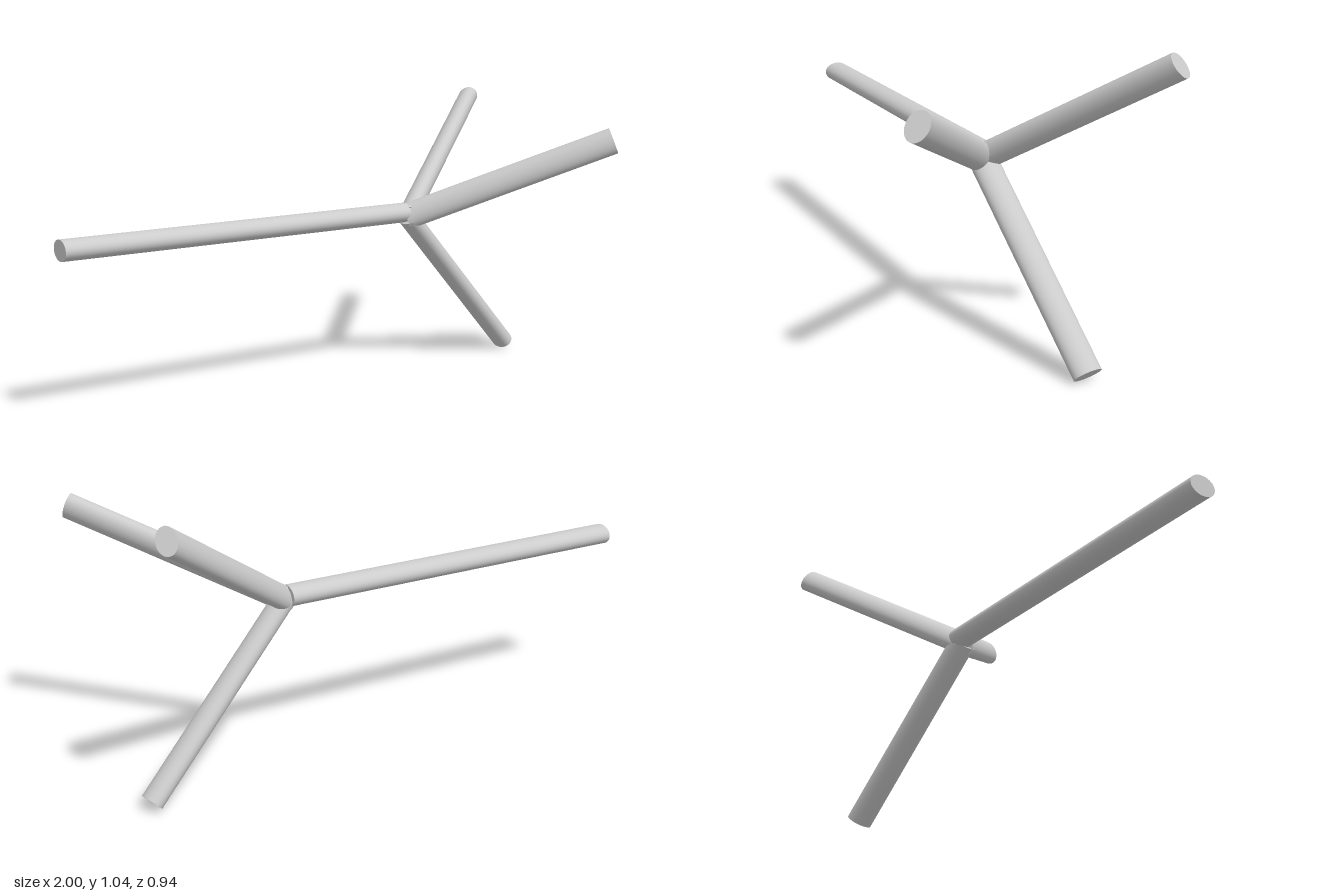
import * as THREE from 'three';

const WIDE = 0.05, NARROW = 0.0365; // half axes of the oval section

// Oval rod between two points; its wide axis lies along the hint direction
function rod(name, start, end, wideHint, material) {
  const axis = end.clone().sub(start);
  const length = axis.length();
  axis.normalize();
  const depth = wideHint.clone().cross(axis).normalize();
  const wide = axis.clone().cross(depth);
  const geometry = new THREE.CylinderGeometry(1, 1, length, 48);
  geometry.scale(WIDE, 1, NARROW);
  const mesh = new THREE.Mesh(geometry, material);
  mesh.name = name;
  mesh.quaternion.setFromRotationMatrix(new THREE.Matrix4().makeBasis(wide, axis, depth));
  mesh.position.copy(start).add(end).multiplyScalar(0.5);
  return mesh;
}

export function createModel() {
  const group = new THREE.Group();
  group.name = 'branchedRods';
  const material = new THREE.MeshStandardMaterial({ color: 0xcccccc });
  const v = (x, y, z) => new THREE.Vector3(x, y, z);

  // Long horizontal shaft
  group.add(rod('shaft', v(-1, 0.62, -0.067), v(0.385, 0.62, -0.067), v(0, 0, 1), material));

  // Three prongs spreading from the shaft's end, each wide across the spread
  const joint = v(0.39, 0.607, -0.054);
  const prongs = {
    lowerProng: v(0.952, 0.029, -0.154),
    frontProng: v(0.96, 0.903, 0.436),
    backProng: v(0.972, 1.004, -0.43),
  };
  for (const [name, tip] of Object.entries(prongs)) {
    const across = tip.clone().sub(joint).cross(v(1, 0, 0));
    group.add(rod(name, joint, tip, across, material));
  }
  return group;
}
